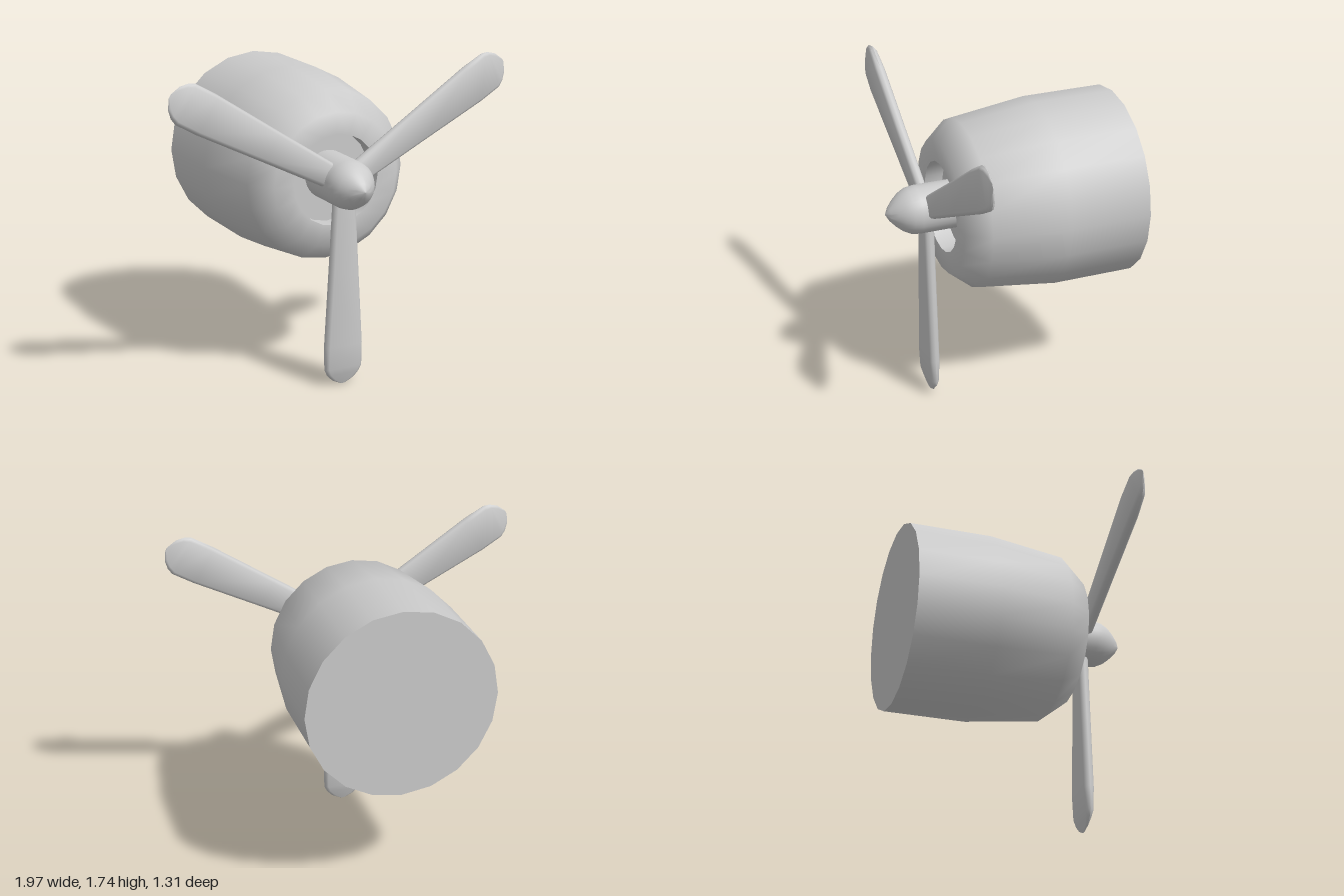
import * as THREE from 'three';
import { toCreasedNormals } from 'three/addons/utils/BufferGeometryUtils.js';

const AXIS_Y = 1.13;
const material = new THREE.MeshStandardMaterial({ color: 0xcccccc });

// Solid of revolution about the z axis from [radius, z] pairs, back to front
function turned(name, profile, sides, crease) {
  const points = profile.map(([r, z]) => new THREE.Vector2(r, z));
  const geometry = new THREE.LatheGeometry(points, sides).rotateX(Math.PI / 2);
  const mesh = new THREE.Mesh(toCreasedNormals(geometry, crease), material);
  mesh.name = name;
  return mesh;
}

// Blade along -y, lofted through bevelled cross-sections
function bladeGeometry() {
  // distance from hub, half width, half thickness
  const sections = [
    [0.06, 0.064, 0.028], [0.5, 0.089, 0.028], [0.9, 0.113, 0.028],
    [1.03, 0.113, 0.022], [1.065, 0.098, 0.015], [1.1, 0.065, 0.008], [1.125, 0.012, 0.001],
  ];
  const positions = [];
  const index = [];
  const n = 10;
  for (const [d, w, t] of sections) {
    const bevel = Math.min(0.02, w * 0.4);
    const side = [[w - bevel, -t], [w - bevel * 0.35, -t * 0.65], [w, 0], [w - bevel * 0.35, t * 0.65], [w - bevel, t]];
    const ring = [...side, ...side.map(([x, z]) => [-x, -z])];
    for (const [x, z] of ring) positions.push(x, -d, z);
  }
  for (let s = 0; s < sections.length - 1; s++) {
    for (let i = 0; i < n; i++) {
      const a = s * n + i;
      const b = s * n + (i + 1) % n;
      index.push(a, a + n, b, b, a + n, b + n);
    }
  }
  // End caps
  const last = (sections.length - 1) * n;
  for (let i = 1; i < n - 1; i++) {
    index.push(0, i, i + 1, last, last + i + 1, last + i);
  }
  // Ring runs clockwise seen from the root, so flip every face outward
  for (let i = 0; i < index.length; i += 3) {
    [index[i + 1], index[i + 2]] = [index[i + 2], index[i + 1]];
  }
  const geometry = new THREE.BufferGeometry();
  geometry.setAttribute('position', new THREE.Float32BufferAttribute(positions, 3));
  geometry.setIndex(index);
  // Enforce outward winding using the signed volume
  const at = (i) => new THREE.Vector3().fromArray(positions, i * 3);
  let volume = 0;
  for (let i = 0; i < index.length; i += 3) {
    volume += at(index[i]).dot(at(index[i + 1]).cross(at(index[i + 2])));
  }
  if (volume < 0) geometry.setIndex(index.slice().reverse());
  return toCreasedNormals(geometry, 0.75);
}

export function createModel() {
  const model = new THREE.Group();
  model.name = 'propellerEngine';

  // Cowling with a closed back and a round recess in the nose
  const cowling = turned('engineCowling', [
    [0, -0.655], [0.52, -0.655], [0.52, -0.2], [0.466, 0.22],
    [0.367, 0.342], [0.25, 0.342], [0.25, 0.24], [0, 0.24],
  ], 20, 0.98);
  cowling.position.y = AXIS_Y - 0.004;
  model.add(cowling);

  // Propeller: shaft with pointed spinner and three blades
  const propeller = new THREE.Group();
  propeller.name = 'propeller';
  propeller.position.y = AXIS_Y + 0.005;
  propeller.add(turned('spinner', [
    [0, 0.22], [0.132, 0.22], [0.132, 0.48], [0.125, 0.525],
    [0.105, 0.565], [0.075, 0.6], [0.04, 0.632], [0, 0.655],
  ], 32, 0.7));

  const geometry = bladeGeometry();
  for (let i = 0; i < 3; i++) {
    const blade = new THREE.Mesh(geometry, material);
    blade.name = `blade${i + 1}`;
    blade.position.set(0, -0.005, 0.425);
    blade.rotation.z = (i * Math.PI * 2) / 3;
    propeller.add(blade);
  }
  model.add(propeller);
  return model;
}
